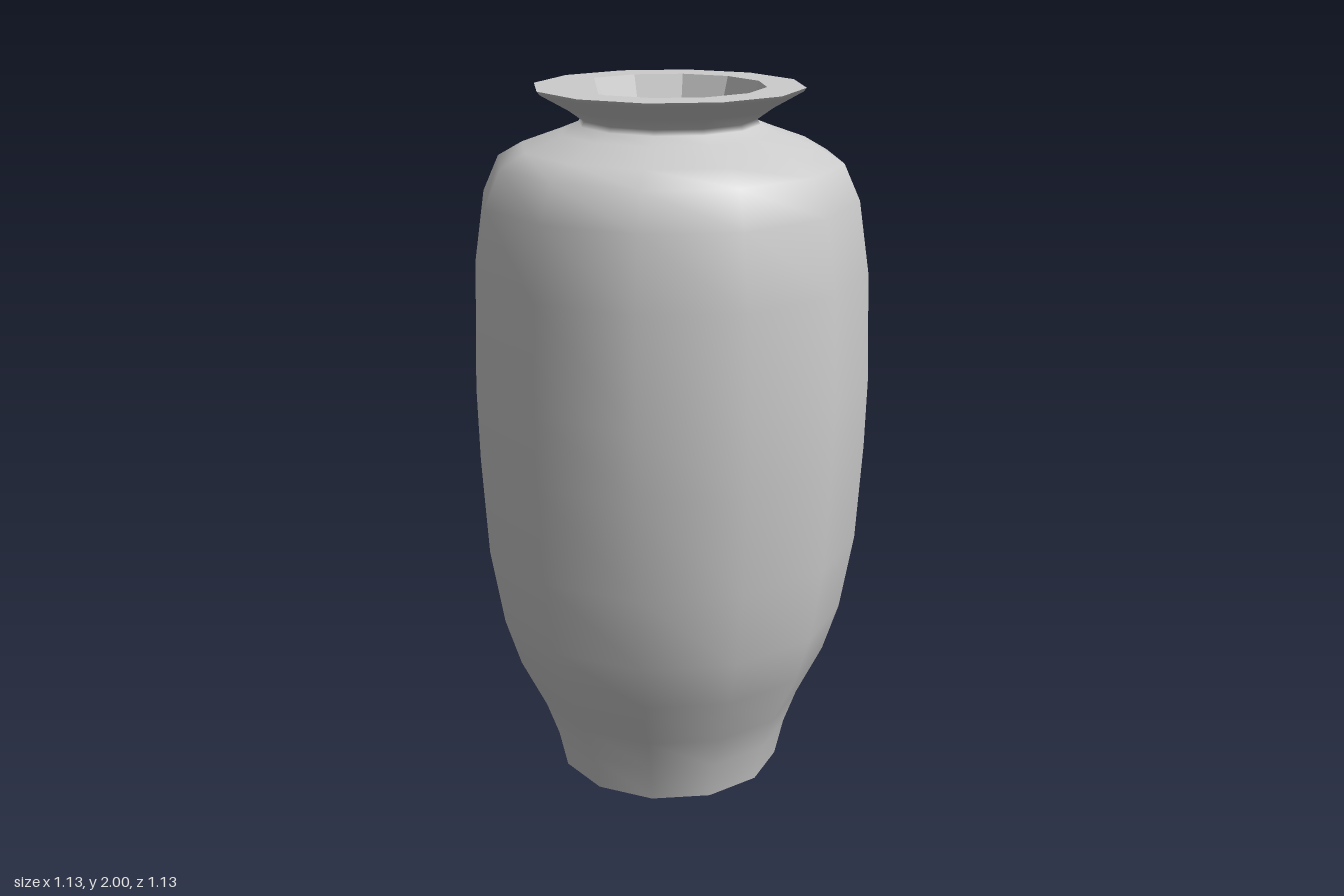
import * as THREE from 'three';

const SIDES = 12;

// Turns a profile of [radius, height] pairs about the y axis.
function turned(name, profile, flatShading = false) {
  const points = profile.map(([r, y]) => new THREE.Vector2(r, y));
  const material = new THREE.MeshStandardMaterial({ color: 0xcccccc, flatShading });
  const mesh = new THREE.Mesh(new THREE.LatheGeometry(points, SIDES), material);
  mesh.name = name;
  return mesh;
}

export function createModel() {
  const vase = new THREE.Group();
  vase.name = 'vase';

  // Smooth outer wall: foot, belly, shoulder, neck and flared lip
  vase.add(turned('body', [
    [0.325, 0], [0.35, 0.11], [0.386, 0.21], [0.46, 0.36], [0.505, 0.5],
    [0.543, 0.72], [0.56, 1.0], [0.565, 1.2], [0.555, 1.5], [0.525, 1.7],
    [0.48, 1.8], [0.41, 1.84], [0.3, 1.88], [0.25, 1.9], [0.243, 1.915],
    [0.285, 1.945], [0.365, 1.99], [0.373, 2.0],
  ]));

  // Flat underside
  vase.add(turned('base', [[0, 0], [0.325, 0]], true));

  // Flat rim around the opening
  vase.add(turned('rim', [[0.373, 2], [0.267, 2]], true));

  // Faceted, tapering mouth with a closed floor
  vase.add(turned('mouth', [[0.267, 2], [0.18, 1.74]], true));
  vase.add(turned('mouthFloor', [[0.18, 1.74], [0, 1.74]], true));

  return vase;
}
